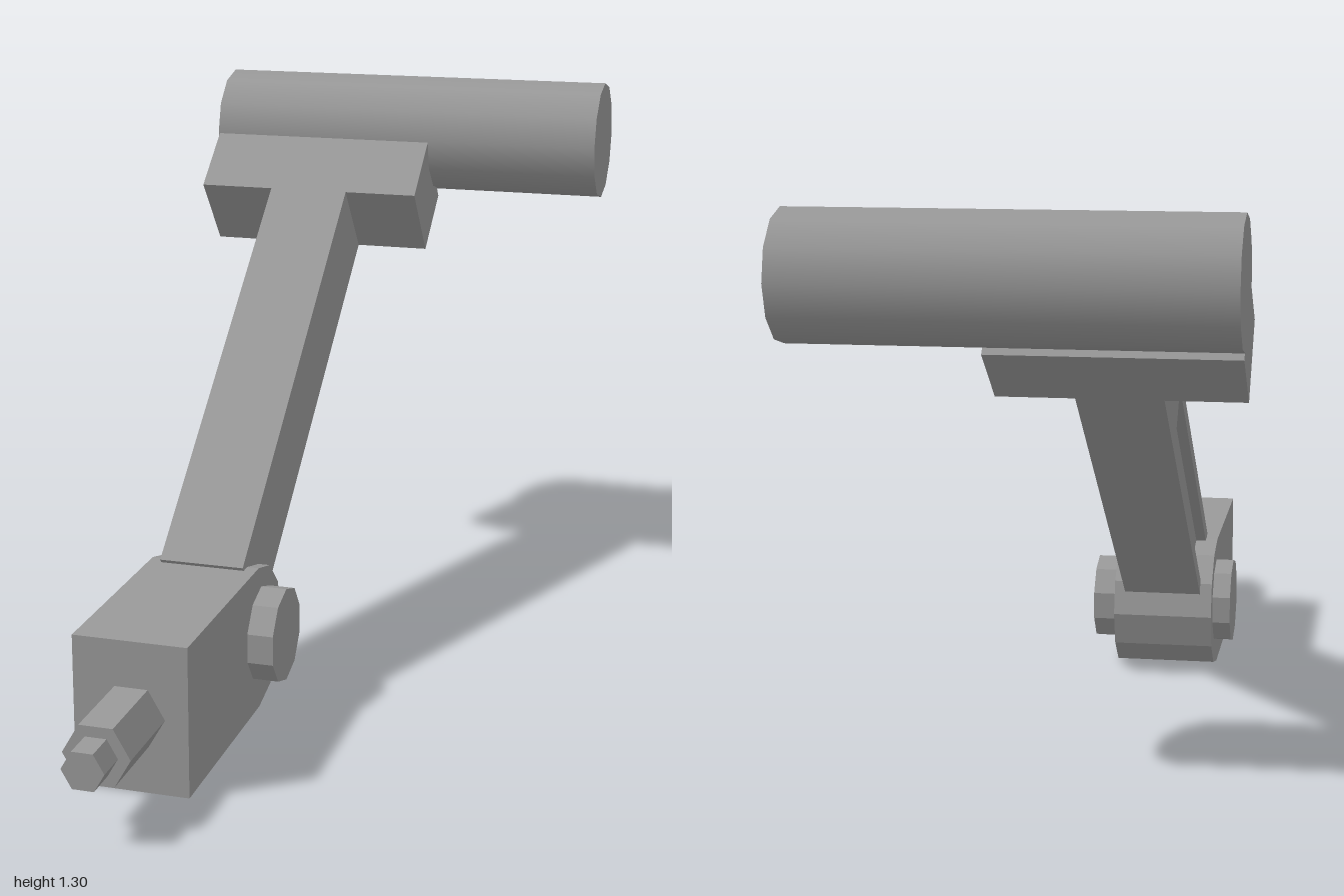
import * as THREE from 'three';
import { toCreasedNormals } from 'three/addons/utils/BufferGeometryUtils.js';

export function createModel() {
  const model = new THREE.Group();
  model.name = 'hingedArm';
  model.rotation.y = THREE.MathUtils.degToRad(40.7);

  const steel = new THREE.MeshStandardMaterial({ color: 0x999999 });
  steel.name = 'grey steel';

  const add = (name, geometry) => {
    const mesh = new THREE.Mesh(geometry, steel);
    mesh.name = name;
    model.add(mesh);
    return mesh;
  };

  // Side profile in x/y, extruded between two z positions
  const slab = (name, points, z0, z1) => {
    const shape = new THREE.Shape(points.map(([x, y]) => new THREE.Vector2(x, y)));
    const geometry = new THREE.ExtrudeGeometry(shape, { depth: z1 - z0, bevelEnabled: false });
    add(name, geometry.translate(0, 0, z0));
  };

  const faceted = (radius, length, sides) =>
    toCreasedNormals(new THREE.CylinderGeometry(radius, radius, length, sides), 0.1);

  // Clevis block with a rounded hinge end
  const r = 0.167;
  const profile = [[-0.947, 2 * r], [-0.947, 0]];
  for (let i = 0; i <= 6; i++) {
    const a = -Math.PI / 2 + (i * Math.PI) / 6;
    profile.push([-0.468 + r * Math.cos(a), r + r * Math.sin(a)]);
  }
  slab('hingeBlock', profile, -0.205, 0.047);

  // Stepped hexagonal stud at the free end of the block
  for (const [name, radius, x0, x1] of [
    ['studShank', 0.073, -1.143, -0.93],
    ['studTip', 0.046, -1.215, -1.14],
  ]) {
    const geometry = faceted(radius, x1 - x0, 6).rotateZ(Math.PI / 2);
    add(name, geometry.translate((x0 + x1) / 2, 0.168, -0.077));
  }

  // Pivot bolt through the hinge
  add('pivotBolt', faceted(0.109, 0.356, 10).rotateX(Math.PI / 2).translate(-0.45, 0.175, -0.072));

  // Sloping arm: t runs along it, d is the depth below its top face
  const slope = Math.atan(0.82), c = Math.cos(slope), s = Math.sin(slope);
  const at = (t, d) => [0.35 + t * c + d * s, 1.04 + t * s - d * c];
  const bar = (name, t0, t1, d0, d1, z0, z1) =>
    slab(name, [at(t0, d0), at(t0, d1), at(t1, d1), at(t1, d0)], z0, z1);

  bar('armCore', -1.1, 0.02, 0, 0.208, -0.15, 0.02);
  // Shallow channel along the back of the arm
  bar('armUpperRail', -1.1, 0.02, 0, 0.035, -0.175, -0.15);
  bar('armLowerRail', -1.1, 0.02, 0.173, 0.208, -0.175, -0.15);
  bar('armChannelEnd', -0.25, 0.02, 0.035, 0.173, -0.175, -0.15);

  // Cross plate carrying the roller
  bar('crossPlate', 0, 0.18, 0, 0.208, -0.357, 0.197);

  // Roller
  const roller = new THREE.CylinderGeometry(0.145, 0.145, 0.98, 12);
  add('roller', roller.rotateX(Math.PI / 2).translate(0.631, 1.155, 0.13));

  const root = new THREE.Group();
  root.add(model);
  return root;
}
